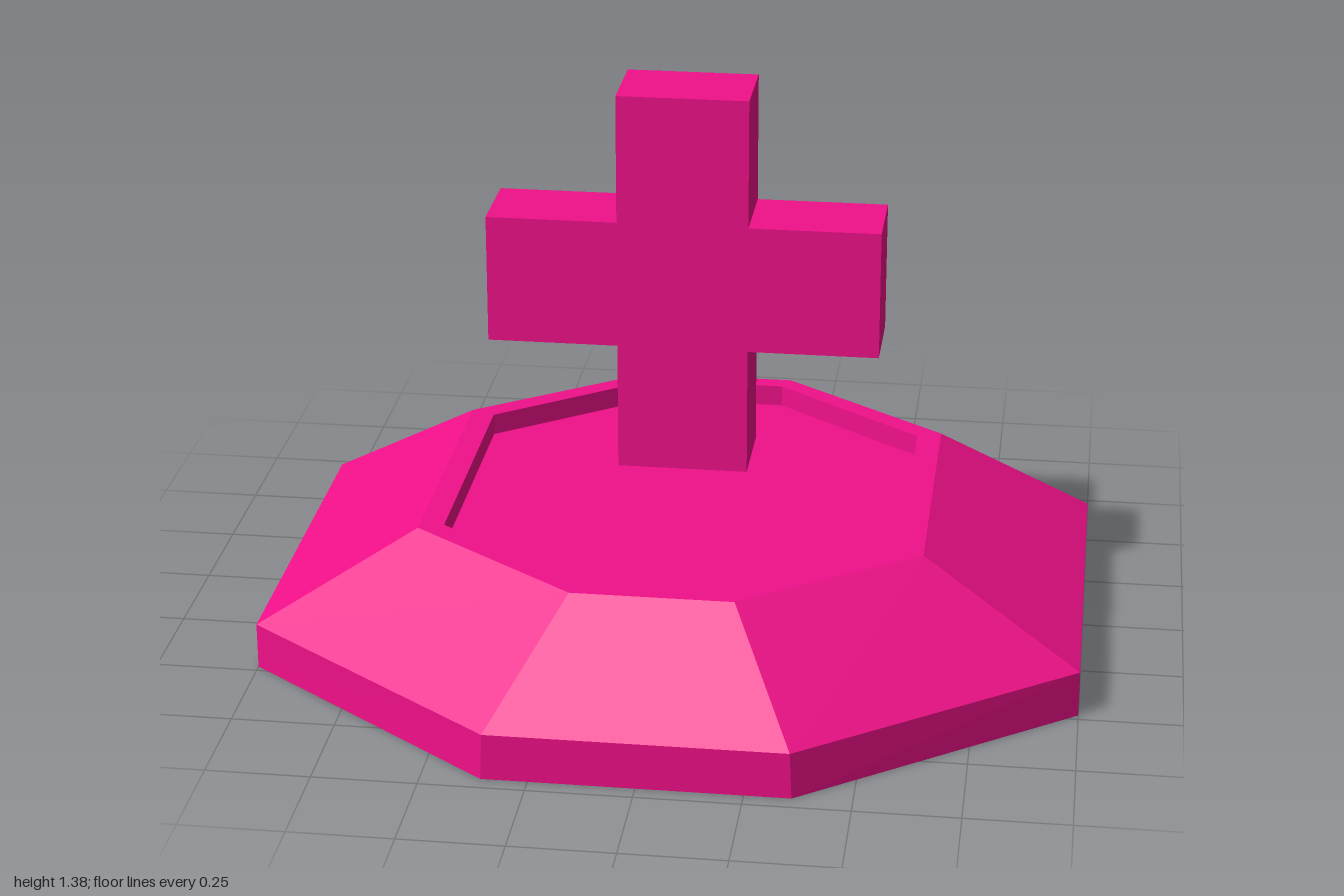
import * as THREE from 'three';

const material = new THREE.MeshStandardMaterial({ color: 0xf01089, flatShading: true });

// Octagon loop at height y from its side corner (ax, az) and end corner (bx, bz)
function octagon([y, ax, az, bx, bz]) {
  return [[ax, az], [bx, bz], [-bx, bz], [-ax, az], [-ax, -az], [-bx, -bz], [bx, -bz], [ax, -az]]
    .map(([x, z]) => new THREE.Vector3(x, y, z));
}

// Skin successive octagons with flat faces; zero-size loops close the ends
function loft(sections) {
  const loops = sections.map(octagon);
  const points = [];
  const triangle = (a, b, c) => {
    if (a.equals(b) || b.equals(c) || a.equals(c)) return;
    points.push(a, b, c);
  };
  for (let k = 0; k + 1 < loops.length; k++) {
    const lower = loops[k], upper = loops[k + 1];
    for (let i = 0; i < 8; i++) {
      const j = (i + 1) % 8;
      triangle(lower[i], upper[i], lower[j]);
      triangle(upper[i], upper[j], lower[j]);
    }
  }
  const geometry = new THREE.BufferGeometry().setFromPoints(points);
  geometry.computeVertexNormals();
  return geometry;
}

export function createModel() {
  const model = new THREE.Group();

  // Octagonal base: underside, upright rim, slope, narrow lip, recessed floor
  const base = new THREE.Mesh(loft([
    [0, 0, 0, 0, 0],
    [0, 1, 0.48, 0.36, 0.96],
    [0.115, 1, 0.48, 0.355, 0.96],
    [0.345, 0.615, 0.365, 0.195, 0.67],
    [0.345, 0.555, 0.34, 0.175, 0.625],
    [0.29, 0.555, 0.34, 0.175, 0.625],
    [0.29, 0, 0, 0, 0],
  ]), material);
  base.name = 'base';
  model.add(base);

  // Floating cross with four equal arms
  const w = 0.16, r = 0.48, depth = 0.21;
  const outline = [
    [-w, -r], [w, -r], [w, -w], [r, -w], [r, w], [w, w],
    [w, r], [-w, r], [-w, w], [-r, w], [-r, -w], [-w, -w],
  ].map(([x, y]) => new THREE.Vector2(x, y));
  const crossGeometry = new THREE.ExtrudeGeometry(new THREE.Shape(outline), { depth, bevelEnabled: false });
  crossGeometry.translate(0, 0, -depth / 2);
  const cross = new THREE.Mesh(crossGeometry, material);
  cross.name = 'cross';
  cross.position.set(0, 0.9, -0.003);
  model.add(cross);

  return model;
}
